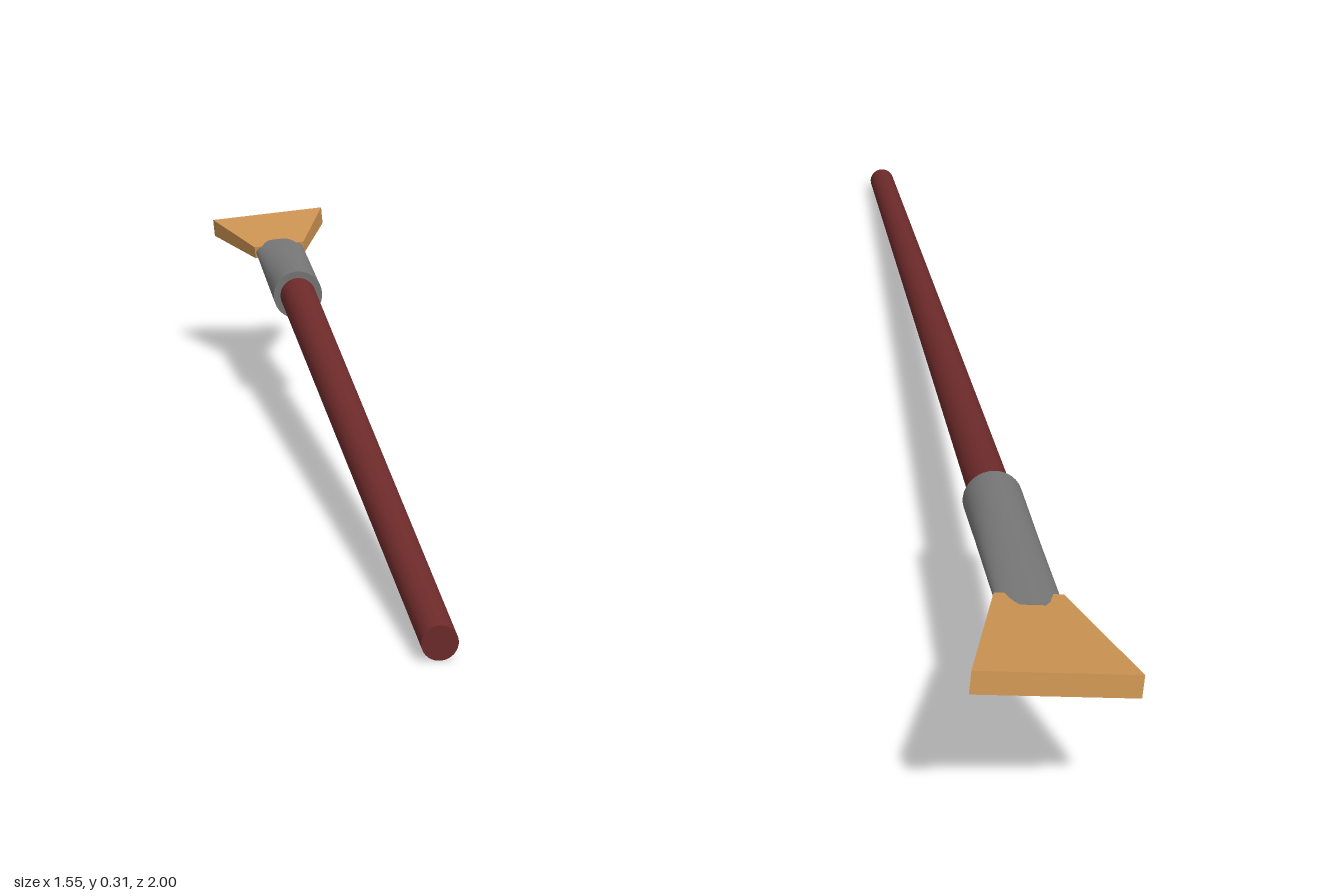
import * as THREE from 'three';

const wood = new THREE.MeshStandardMaterial({ name: 'darkRedWood', color: 0x6f2b2b });
const metal = new THREE.MeshStandardMaterial({ name: 'greyMetal', color: 0x777777 });
const hair = new THREE.MeshStandardMaterial({ name: 'tanBristle', color: 0xcc9452 });

// Scale a unit-section solid along +y from section a to section b ([half width, half depth])
function taper(geometry, start, end, a, b) {
  const p = geometry.attributes.position;
  for (let i = 0; i < p.count; i++) {
    const t = p.getY(i) + 0.5;
    p.setXYZ(
      i,
      p.getX(i) * THREE.MathUtils.lerp(a[0], b[0], t),
      THREE.MathUtils.lerp(start, end, t),
      p.getZ(i) * THREE.MathUtils.lerp(a[1], b[1], t)
    );
  }
  geometry.computeVertexNormals();
  return geometry;
}

function part(name, geometry, material) {
  const mesh = new THREE.Mesh(geometry, material);
  mesh.name = name;
  return mesh;
}

export function createModel() {
  // The brush is built along +y, flat in x, then laid down at a slant
  const brush = new THREE.Group();
  brush.name = 'paintbrush';

  // Handle, slightly thicker towards the ferrule
  brush.add(part('handle',
    taper(new THREE.CylinderGeometry(1, 1, 1, 32), 0, 1.8, [0.025, 0.025], [0.035, 0.035]), wood));

  // Ferrule, round at the handle and pressed flat at the bristles
  brush.add(part('ferrule',
    taper(new THREE.CylinderGeometry(1, 1, 1, 32, 6), 1.77, 2.18, [0.048, 0.048], [0.05, 0.014]), metal));

  // Bristles, a fan-shaped wedge
  brush.add(part('bristles',
    taper(new THREE.BoxGeometry(2, 1, 2), 2.14, 2.4, [0.052, 0.012], [0.12, 0.018]), hair));

  // Lay the brush along its diagonal with a slight roll
  const along = new THREE.Vector3(0.598, 0.105, -0.795).normalize();
  const up = new THREE.Vector3(0.79, 0.104, 0.603).cross(along).normalize();
  const across = along.clone().cross(up);
  brush.quaternion.setFromRotationMatrix(new THREE.Matrix4().makeBasis(across, along, up));
  brush.position.set(-0.757, 0.028, 0.982);

  const model = new THREE.Group();
  model.name = 'model';
  model.add(brush);
  return model;
}
